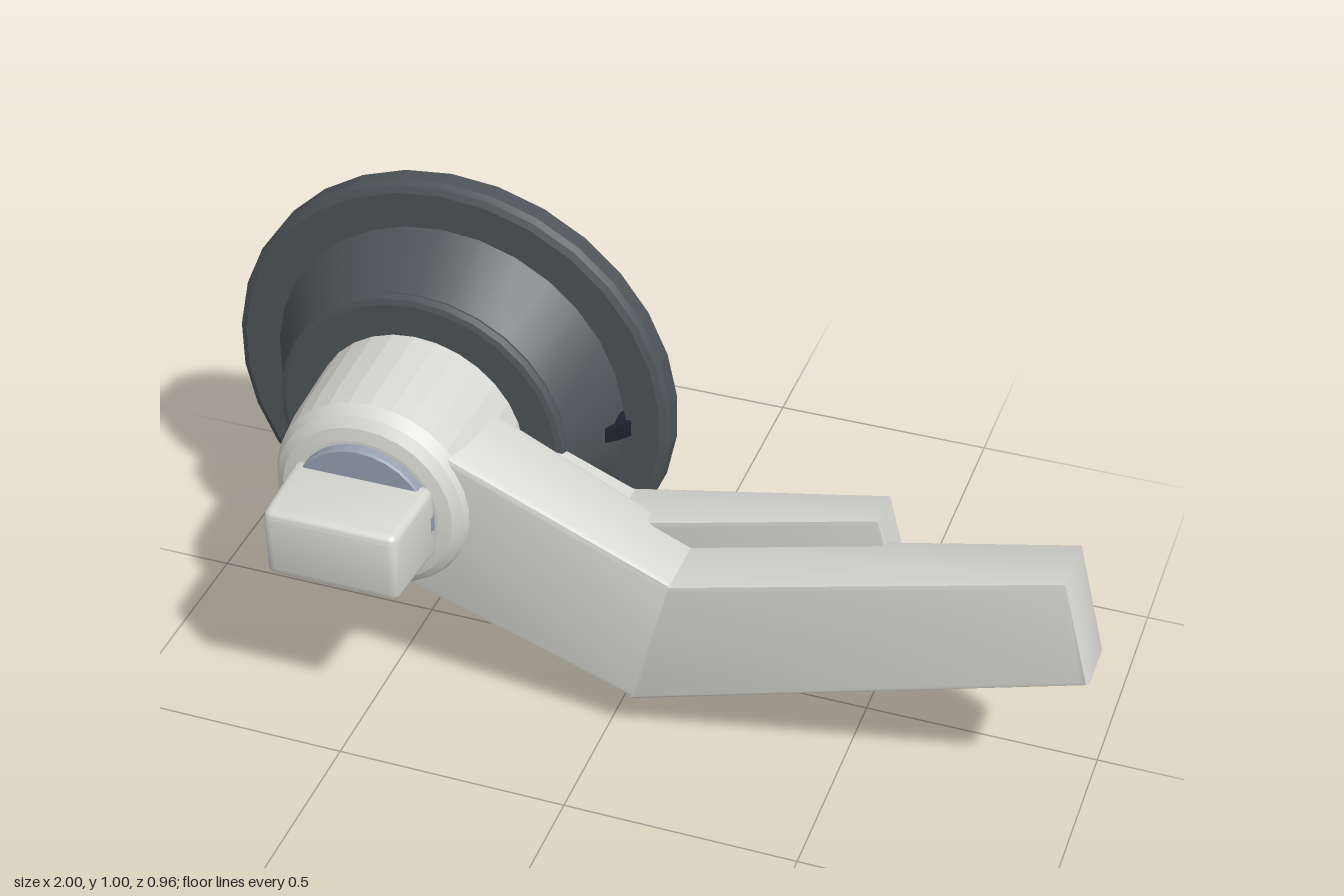
import * as THREE from 'three';
import { toCreasedNormals } from 'three/addons/utils/BufferGeometryUtils.js';
import { RoundedBoxGeometry } from 'three/addons/geometries/RoundedBoxGeometry.js';

const material = (name, color) => {
  const m = new THREE.MeshStandardMaterial({ color });
  m.name = name;
  return m;
};

export function createModel() {
  const paleGrey = material('pale grey', 0xd6d6d2);
  const darkGrey = material('dark grey', 0x4e5458);
  const steel = material('blue steel', 0x97a1b1);
  const black = material('near black', 0x20202c);

  const model = new THREE.Group();
  model.name = 'leverLatch';
  const add = (name, geometry, mat, x = 0, y = 0, z = 0) => {
    const mesh = new THREE.Mesh(geometry, mat);
    mesh.name = name;
    mesh.position.set(x, y, z);
    model.add(mesh);
    return mesh;
  };

  // Turned part on the spindle axis; profile is [radius, z] from back to front
  const turned = (name, profile, mat) => {
    const g = new THREE.LatheGeometry(profile.map(([r, z]) => new THREE.Vector2(r, z)), 30);
    g.rotateX(Math.PI / 2);
    add(name, toCreasedNormals(g, 0.2), mat, -0.5, 0.5, 0);
  };

  turned('rosette', [
    [0, -0.212], [0.5, -0.212], [0.5, -0.172], [0.494, -0.157], [0.48, -0.15],
    [0.4, -0.15], [0.322, -0.01], [0, -0.01],
  ], darkGrey);
  turned('rosetteLip', [
    [0.322, -0.014], [0.327, -0.002], [0.322, 0.012], [0.31, 0.016], [0, 0.016],
  ], darkGrey);
  turned('backKnob', [
    [0, -0.482], [0.2, -0.482], [0.227, -0.476], [0.248, -0.458], [0.257, -0.425], [0.24, -0.2],
  ], paleGrey);
  turned('frontHub', [
    [0.238, 0], [0.228, 0.2], [0.221, 0.25], [0.208, 0.278], [0.188, 0.294], [0.16, 0.3], [0, 0.3],
  ], paleGrey);
  turned('lockDisc', [[0.153, 0.28], [0.153, 0.318], [0.149, 0.322], [0, 0.322]], steel);

  // Tapered rectangular lock button
  const button = new RoundedBoxGeometry(0.3, 0.165, 0.19, 2, 0.018);
  const bp = button.attributes.position;
  for (let i = 0; i < bp.count; i++) {
    const s = 1 - 0.3 * (bp.getZ(i) + 0.03);
    bp.setXY(i, bp.getX(i) * s, bp.getY(i) * s);
  }
  button.computeVertexNormals();
  add('lockButton', toCreasedNormals(button, 0.6), paleGrey, -0.5, 0.5, 0.387);

  // Bevelled bar: outline in x,y; back and front z run straight from x0 to x1
  const bar = (name, corners, x0, [back0, front0], x1, [back1, front1], bevel = 0.015) => {
    const shape = new THREE.Shape(corners.map(([x, y]) => new THREE.Vector2(x, y)));
    const g = new THREE.ExtrudeGeometry(shape, {
      depth: 0.2 - 2 * bevel, bevelEnabled: true, bevelThickness: bevel,
      bevelSize: bevel, bevelOffset: -bevel, bevelSegments: 2,
    });
    const p = g.attributes.position;
    for (let i = 0; i < p.count; i++) {
      const t = (p.getX(i) - x0) / (x1 - x0);
      const k = (p.getZ(i) + bevel) / 0.2;
      const back = THREE.MathUtils.lerp(back0, back1, t);
      const front = THREE.MathUtils.lerp(front0, front1, t);
      p.setZ(i, THREE.MathUtils.lerp(back, front, k));
    }
    g.computeVertexNormals();
    add(name, toCreasedNormals(g, 0.6), paleGrey);
  };

  // Main bent lever
  bar('leverNeck', [[-0.45, 0.3], [0.07, 0.1], [0.19, 0.4], [-0.36, 0.65]],
    -0.35, [0.06, 0.266], 0.1, [0.075, 0.253]);
  bar('leverArm', [[0.05, 0.1], [1, 0.377], [0.938, 0.622], [0.13, 0.42]],
    0.08, [0.075, 0.256], 1, [0.092, 0.225]);

  // Smaller lever behind it
  bar('rearLeverNeck', [[-0.45, 0.36], [0.06, 0.168], [0.1, 0.4], [-0.4, 0.6]],
    -0.35, [-0.012, 0.07], 0.1, [-0.005, 0.09], 0.012);
  bar('rearLeverArm', [[0.05, 0.168], [0.575, 0.42], [0.53, 0.585], [-0.06, 0.44]],
    0, [-0.01, 0.12], 0.57, [0.018, 0.105], 0.012);

  // Latch cam beside the back knob
  add('camDisc', new THREE.CylinderGeometry(0.136, 0.136, 0.038, 32), black, -0.2, 0.492, -0.22);
  add('camCrown', new THREE.CylinderGeometry(0.122, 0.126, 0.022, 32), black, -0.2, 0.521, -0.22);
  add('camTab', new RoundedBoxGeometry(0.08, 0.105, 0.12, 2, 0.014), paleGrey, -0.245, 0.5, -0.25);

  return model;
}
